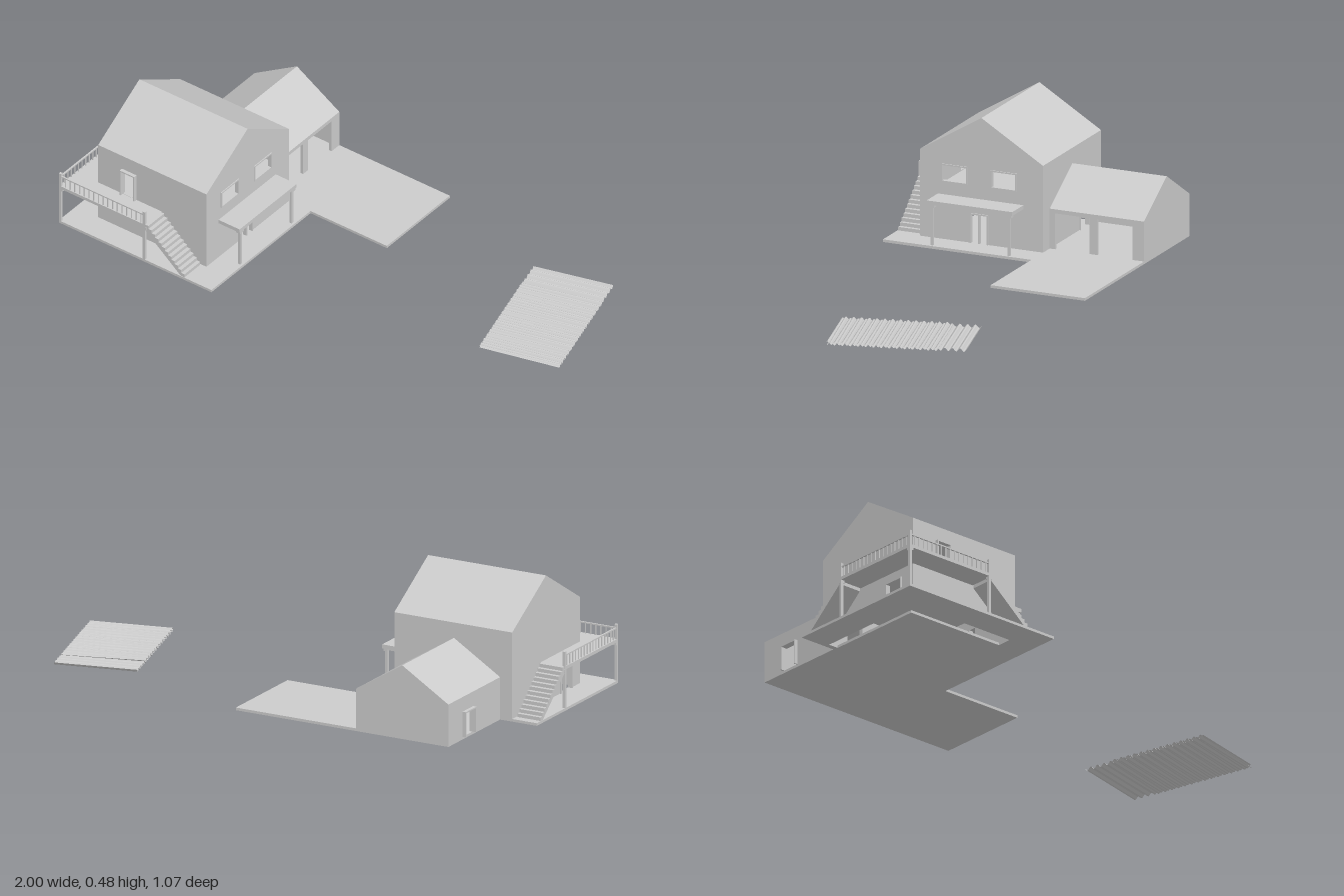
import * as THREE from 'three';
import { ParametricGeometry } from 'three/addons/geometries/ParametricGeometry.js';

const mat = new THREE.MeshStandardMaterial({ color: 0xcccccc, flatShading: true, side: THREE.DoubleSide });
const T = 0.012; // wall and roof thickness

function add(parent, name, geo) {
  const m = new THREE.Mesh(geo, mat);
  m.name = name;
  parent.add(m);
  return m;
}

// Box given by its minimum and maximum corners
function box(parent, name, x0, x1, y0, y1, z0, z1) {
  const m = add(parent, name, new THREE.BoxGeometry(x1 - x0, y1 - y0, z1 - z0));
  m.position.set((x0 + x1) / 2, (y0 + y1) / 2, (z0 + z1) / 2);
  return m;
}

const rect = ([u0, u1, v0, v1]) => [[u0, v0], [u1, v0], [u1, v1], [u0, v1]];

function extrude(pts, holes, depth, flip) {
  const v = (list) => list.map(([u, w]) => new THREE.Vector2(flip ? -u : u, w));
  const shape = new THREE.Shape(v(pts));
  for (const h of holes) shape.holes.push(new THREE.Path(v(rect(h))));
  return new THREE.ExtrudeGeometry(shape, { depth, bevelEnabled: false });
}

// Profile in (z, y), extruded along x from x0 to x1
function alongX(parent, name, x0, x1, pts, holes = []) {
  const g = extrude(pts, holes, x1 - x0, true);
  g.rotateY(Math.PI / 2);
  g.translate(x0, 0, 0);
  return add(parent, name, g);
}

// Profile in (x, y), extruded along z from z0 to z1
function alongZ(parent, name, z0, z1, pts, holes = []) {
  const g = extrude(pts, holes, z1 - z0, false);
  g.translate(0, 0, z0);
  return add(parent, name, g);
}

const gable = (u0, u1, eave, ridge) =>
  [[u0, 0], [u1, 0], [u1, eave - T], [(u0 + u1) / 2, ridge - T], [u0, eave - T]];
const chevron = (u0, u1, eave, ridge) => {
  const m = (u0 + u1) / 2;
  return [[u0, eave - T], [m, ridge - T], [u1, eave - T], [u1, eave], [m, ridge], [u0, eave]];
};

// Rectangular frame around an opening; axis is the direction its wall faces
function frame(parent, name, axis, p0, p1, [u0, u1, v0, v1], sill, mullion) {
  const w = 0.005;
  const bars = [[u0, u0 + w, v0, v1], [u1 - w, u1, v0, v1], [u0, u1, v1 - w, v1]];
  if (sill) bars.push([u0, u1, v0, v0 + w]);
  if (mullion) bars.push([(u0 + u1 - w) / 2, (u0 + u1 + w) / 2, v0, v1]);
  for (const [a, b, c, d] of bars) {
    if (axis === 'x') box(parent, name, p0, p1, c, d, a, b);
    else box(parent, name, a, b, c, d, p0, p1);
  }
}

// Sawtooth stair profile climbing from u0 to u1
function stairProfile(u0, u1, y0, y1, n) {
  const pts = [[u0, y0]], run = (u1 - u0) / n, rise = (y1 - y0) / n;
  for (let i = 0; i < n; i++) {
    pts.push([u0 + i * run, y0 + (i + 1) * rise], [u0 + (i + 1) * run, y0 + (i + 1) * rise]);
  }
  pts.push([u1, y1 - 0.025], [u0 + run * 1.2, y0]);
  return pts;
}

function buildHouse(g) {
  const x0 = -0.773, x1 = -0.285, z0 = 0.01, z1 = 0.5, eave = 0.336, ridge = 0.484;
  const front = [0.227, 0.301, 0.01, 0.122], side = [0.355, 0.44, 0.01, 0.122];
  const winA = [0.31, 0.415, 0.225, 0.293], winB = [0.114, 0.218, 0.225, 0.293];
  const deckDoor = [-0.666, -0.6, 0.168, 0.278], backDoor = [-0.67, -0.59, 0.01, 0.122];
  const outline = gable(z0, z1, eave, ridge);
  const long = rect([x0 + T, x1 - T, 0, eave - T]);
  alongX(g, 'entranceGableWall', x1 - T, x1, outline, [front, winA, winB]);
  alongX(g, 'sideGableWall', x0, x0 + T, outline, [side]);
  alongZ(g, 'deckWall', z1 - T, z1, long, [deckDoor]);
  alongZ(g, 'garageSideWall', z0, z0 + T, long, [backDoor]);
  alongX(g, 'houseRoof', x0, x1, chevron(z0, z1, eave, ridge));
  box(g, 'upperFloor', x0 + T, x1 - T, 0.155, 0.165, z0 + T, z1 - T);

  frame(g, 'windowFrame', 'x', x1 - T, x1 + 0.004, winA, true, false);
  frame(g, 'windowFrame', 'x', x1 - T, x1 + 0.004, winB, true, false);
  frame(g, 'entranceFrame', 'x', x1 - T, x1 + 0.004, front, false, true);
  frame(g, 'sideDoorFrame', 'x', x0 - 0.006, x0 + T, side, false, false);
  frame(g, 'deckDoorFrame', 'z', z1 - T, z1 + 0.014, deckDoor, false, false);
  frame(g, 'garageDoorFrame', 'z', z0 - 0.004, z0 + T, backDoor, false, false);

  // Entrance canopy on two posts
  box(g, 'canopy', x1, -0.19, 0.163, 0.178, 0.088, 0.428);
  for (const z of [0.105, 0.411]) {
    box(g, 'canopyPost', -0.206, -0.196, 0.01, 0.163, z - 0.005, z + 0.005);
    box(g, 'canopyPostCap', -0.21, -0.192, 0.153, 0.163, z - 0.012, z + 0.012);
    box(g, 'canopyBeam', x1, -0.196, 0.155, 0.163, z - 0.004, z + 0.004);
  }
}

function buildGarage(g) {
  const x0 = -0.723, x1 = -0.341, z0 = -0.365, z1 = 0.01, eave = 0.16, ridge = 0.278;
  const door = [-0.263, -0.185, 0.01, 0.105];
  const side = rect([z0 + T, z1, 0, eave - T]);
  alongZ(g, 'garageBackWall', z0, z0 + T, gable(x0, x1, eave, ridge));
  alongX(g, 'garageSideWall', x0, x0 + T, side, [door]);
  alongX(g, 'garageFrontWall', x1 - T, x1, side,
    [[-0.149, -0.012, 0.01, 0.145], [-0.319, -0.179, 0.01, 0.145]]);
  alongZ(g, 'garageRoof', z0, z1, chevron(x0, x1, eave, ridge));
  frame(g, 'garageDoorFrame', 'x', x0 - 0.014, x0 + T, door, false, false);
}

function buildGround(g) {
  // House slab, open in a narrow strip along two inner walls
  const outline = [[-0.875, 0.01], [-0.187, 0.01], [-0.187, 0.6], [-0.875, 0.6]];
  const shape = new THREE.Shape(outline.map(([x, z]) => new THREE.Vector2(x, -z)));
  const gap = [[-0.761, 0.03], [-0.72, 0.03], [-0.72, 0.43], [-0.3, 0.43], [-0.3, 0.488], [-0.761, 0.488]];
  shape.holes.push(new THREE.Path(gap.map(([x, z]) => new THREE.Vector2(x, -z))));
  const geo = new THREE.ExtrudeGeometry(shape, { depth: 0.01, bevelEnabled: false });
  geo.rotateX(-Math.PI / 2);
  add(g, 'houseSlab', geo);
  box(g, 'drivewaySlab', -0.723, 0.157, 0, 0.01, -0.365, 0.01);
}

function buildDeck(g) {
  const top = 0.167, out = -0.87, edge = 0.595, end = -0.487, back = 0.215;
  box(g, 'frontDeck', -0.875, end, 0.155, top, 0.5, 0.6);
  box(g, 'sideDeck', -0.875, -0.773, 0.155, top, back, 0.5);
  alongZ(g, 'frontStairs', 0.504, 0.598, stairProfile(-0.31, end, 0.01, top, 12));
  alongX(g, 'sideStairs', -0.873, -0.777, stairProfile(0.04, back, 0.01, top, 12));
  // Deck posts rise to the rail
  for (const [x, z] of [[out, edge], [out, back + 0.005], [end - 0.005, edge]]) {
    box(g, 'deckPost', x - 0.005, x + 0.005, 0.01, 0.222, z - 0.005, z + 0.005);
    box(g, 'deckPostCap', x - 0.005, x + 0.011, 0.145, 0.155, z - 0.011, z + 0.005);
  }
  // Rails and balusters
  box(g, 'frontRail', out, end, 0.205, 0.21, edge - 0.003, edge + 0.003);
  box(g, 'sideRail', out - 0.003, out + 0.003, 0.205, 0.21, back, edge);
  const n = 18, h = 0.0018;
  for (let i = 1; i < n; i++) {
    const x = out + (end - out) * i / n, z = back + (edge - back) * i / n;
    box(g, 'baluster', x - h, x + h, top, 0.206, edge - h, edge + h);
    box(g, 'baluster', out - h, out + h, top, 0.206, z - h, z + h);
  }
}

// Corrugated sheet with waves along z
function sheet(parent, x0, x1, z0, z1, phase, y, slope) {
  const waves = Math.round((z1 - z0) / 0.0285);
  const surface = (u, v, target) => target.set(
    x0 + (x1 - x0) * u,
    y + slope * (u - 0.5) + 0.006 * Math.sin((z0 + (z1 - z0) * v) * 2 * Math.PI / 0.0285 + phase),
    z0 + (z1 - z0) * v);
  add(parent, 'corrugatedSheet', new ParametricGeometry(surface, 2, waves * 8));
}

export function createModel() {
  const root = new THREE.Group();
  root.name = 'houseWithGarage';
  const building = new THREE.Group();
  building.name = 'building';
  building.rotation.y = -Math.PI / 12;
  root.add(building);
  const parts = { ground: buildGround, house: buildHouse, garage: buildGarage, deck: buildDeck };
  for (const [name, build] of Object.entries(parts)) {
    const g = new THREE.Group();
    g.name = name;
    build(g);
    building.add(g);
  }
  // Loose stack of roofing sheets lying apart from the house
  const stack = new THREE.Group();
  stack.name = 'roofingSheets';
  sheet(stack, 0.69, 1, -0.018, 0.495, 0, 0.023, 0.003);
  sheet(stack, 0.69, 1, 0.085, 0.495, Math.PI * 0.8, 0.024, -0.003);
  root.add(stack);
  return root;
}
